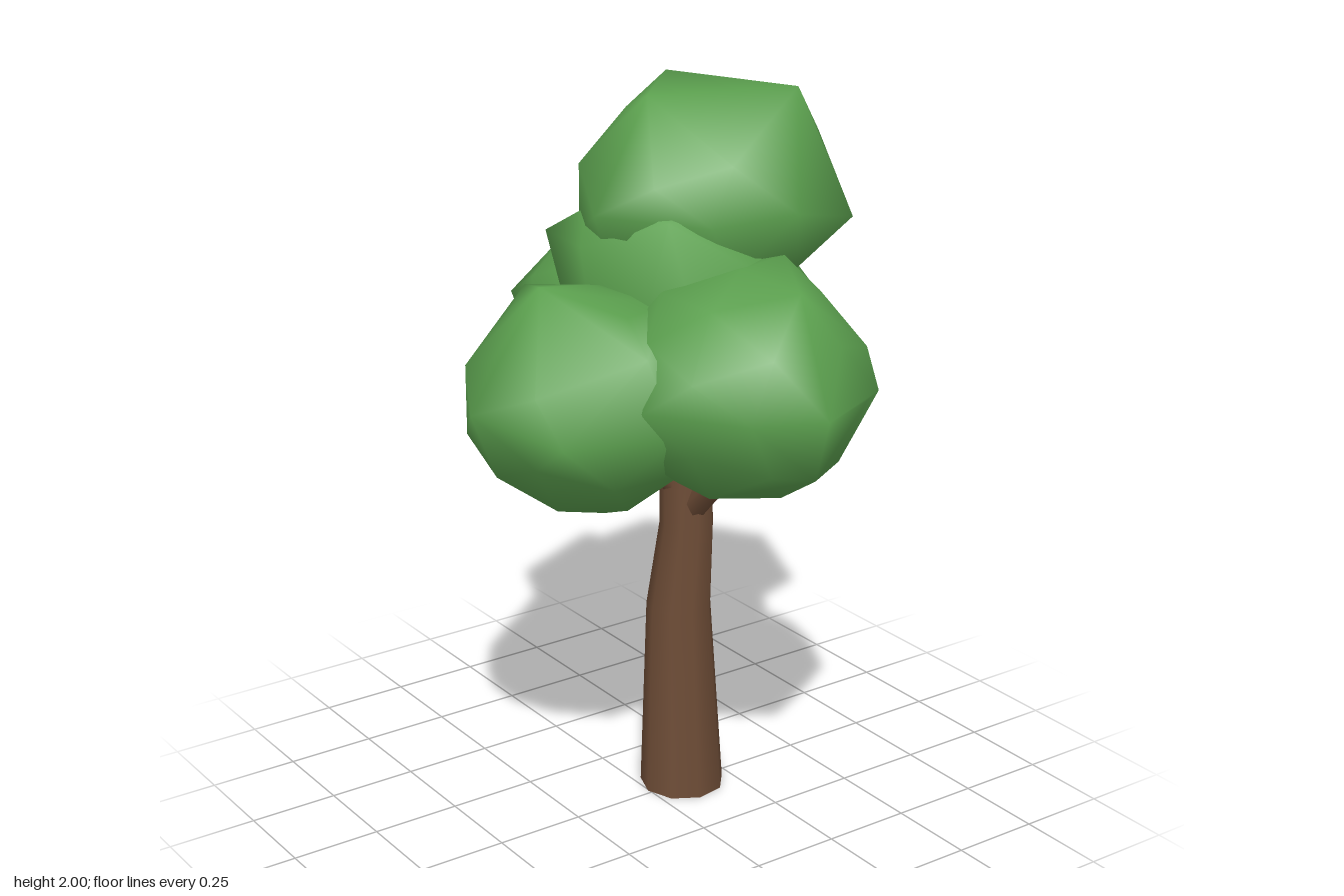
import * as THREE from 'three';
import { mergeVertices, toCreasedNormals } from 'three/addons/utils/BufferGeometryUtils.js';
import { ConvexGeometry } from 'three/addons/geometries/ConvexGeometry.js';

const leaf = new THREE.MeshStandardMaterial({ color: 0x5b9f4e });
leaf.name = 'leafGreen';
const bark = new THREE.MeshStandardMaterial({ color: 0x6d4c36 });
bark.name = 'barkBrown';

// Smooth-shaded hull around a rounded low-poly core and the few knobs that stick out of it
function foliage(name, centre, width, height, knobs) {
  const core = new THREE.IcosahedronGeometry(1, 1);
  core.scale(width, height, width).translate(...centre);
  core.deleteAttribute('uv');
  core.deleteAttribute('normal');
  const p = mergeVertices(core, 1e-3).getAttribute('position');
  const points = knobs.map((k) => new THREE.Vector3(...k));
  for (let i = 0; i < p.count; i++) points.push(new THREE.Vector3().fromBufferAttribute(p, i));
  const hull = new ConvexGeometry(points);
  hull.deleteAttribute('normal');
  const geometry = mergeVertices(hull, 1e-4);
  geometry.computeVertexNormals();
  const mesh = new THREE.Mesh(geometry, leaf);
  mesh.name = name;
  return mesh;
}

// Trunk of four rings that narrows and sways as it rises
function trunk() {
  const rings = [
    [-0.013, 0, -0.115, 0.119], [-0.025, 0.55, -0.11, 0.091],
    [-0.01, 0.8, -0.125, 0.075], [-0.01, 1.12, -0.115, 0.068]];
  const geometry = new THREE.CylinderGeometry(1, 1, 1, 9, rings.length - 1);
  const p = geometry.getAttribute('position');
  for (let i = 0; i < p.count; i++) {
    const [x, y, z, r] = rings[Math.round((p.getY(i) + 0.5) * (rings.length - 1))];
    p.setXYZ(i, x + p.getX(i) * r, y, z + p.getZ(i) * r);
  }
  const mesh = new THREE.Mesh(toCreasedNormals(geometry, 0.9), bark);
  mesh.name = 'trunk';
  return mesh;
}

// Tapered branch between two points
function branch(name, from, to, r0, r1) {
  const a = new THREE.Vector3(...from), b = new THREE.Vector3(...to);
  const mesh = new THREE.Mesh(new THREE.CylinderGeometry(r1, r0, a.distanceTo(b), 7), bark);
  mesh.position.copy(a).add(b).multiplyScalar(0.5);
  mesh.quaternion.setFromUnitVectors(new THREE.Vector3(0, 1, 0), b.sub(a).normalize());
  mesh.name = name;
  return mesh;
}

export function createModel() {
  const tree = new THREE.Group();
  tree.name = 'tree';
  tree.add(
    trunk(),
    branch('leftBranch', [0.02, 0.85, -0.12], [0.25, 1.08, -0.12], 0.038, 0.03),
    branch('frontBranch', [-0.01, 0.9, -0.1], [-0.04, 1.08, 0.06], 0.034, 0.028),
    foliage('topFoliage', [-0.08, 1.69, -0.22], 0.345, 0.3, [
      [-0.48, 1.67, -0.21], [-0.29, 1.99, -0.25], [0.12, 2, -0.38], [-0.05, 1.99, -0.02],
      [0, 1.71, 0.18], [0.2, 1.65, -0.51], [0.31, 1.72, -0.24], [-0.04, 1.83, -0.58],
      [-0.04, 1.58, -0.59]]),
    foliage('rightFoliage', [-0.29, 1.33, -0.2], 0.345, 0.31, [
      [-0.65, 1.5, -0.21], [-0.65, 1.2, -0.21], [-0.37, 1.66, -0.2], [-0.59, 1.35, 0.07],
      [-0.34, 1.3, 0.17], [-0.33, 1.33, -0.57], [-0.57, 1.38, -0.43], [-0.3, 1.04, -0.37]]),
    foliage('leftFoliage', [0.28, 1.29, -0.08], 0.345, 0.305, [
      [0.28, 1.61, -0.22], [0.5, 1.58, -0.1], [0.65, 1.29, -0.08], [0.55, 1.3, -0.32],
      [0.36, 1.3, 0.28], [0.26, 1.3, -0.44], [0.6, 1.12, -0.08], [0.2, 0.97, -0.05]]),
    foliage('frontFoliage', [0.03, 1.24, 0.22], 0.335, 0.305, [
      [0.05, 1.27, 0.59], [-0.34, 1.45, 0.18], [0.34, 1.43, 0.25], [0.4, 1.23, 0.2],
      [0.05, 1.57, 0.38], [0.04, 0.91, 0.18], [0.29, 1.22, 0.47], [0.04, 0.97, -0.02]]),
    foliage('middleFoliage', [-0.02, 1.38, -0.15], 0.325, 0.32, [
      [-0.31, 1.6, 0.13], [-0.08, 1.61, 0.17], [0.16, 1.71, 0.06], [0.29, 1.58, -0.13],
      [-0.22, 1.67, 0.06], [0, 1.54, -0.42]]),
  );
  return tree;
}
